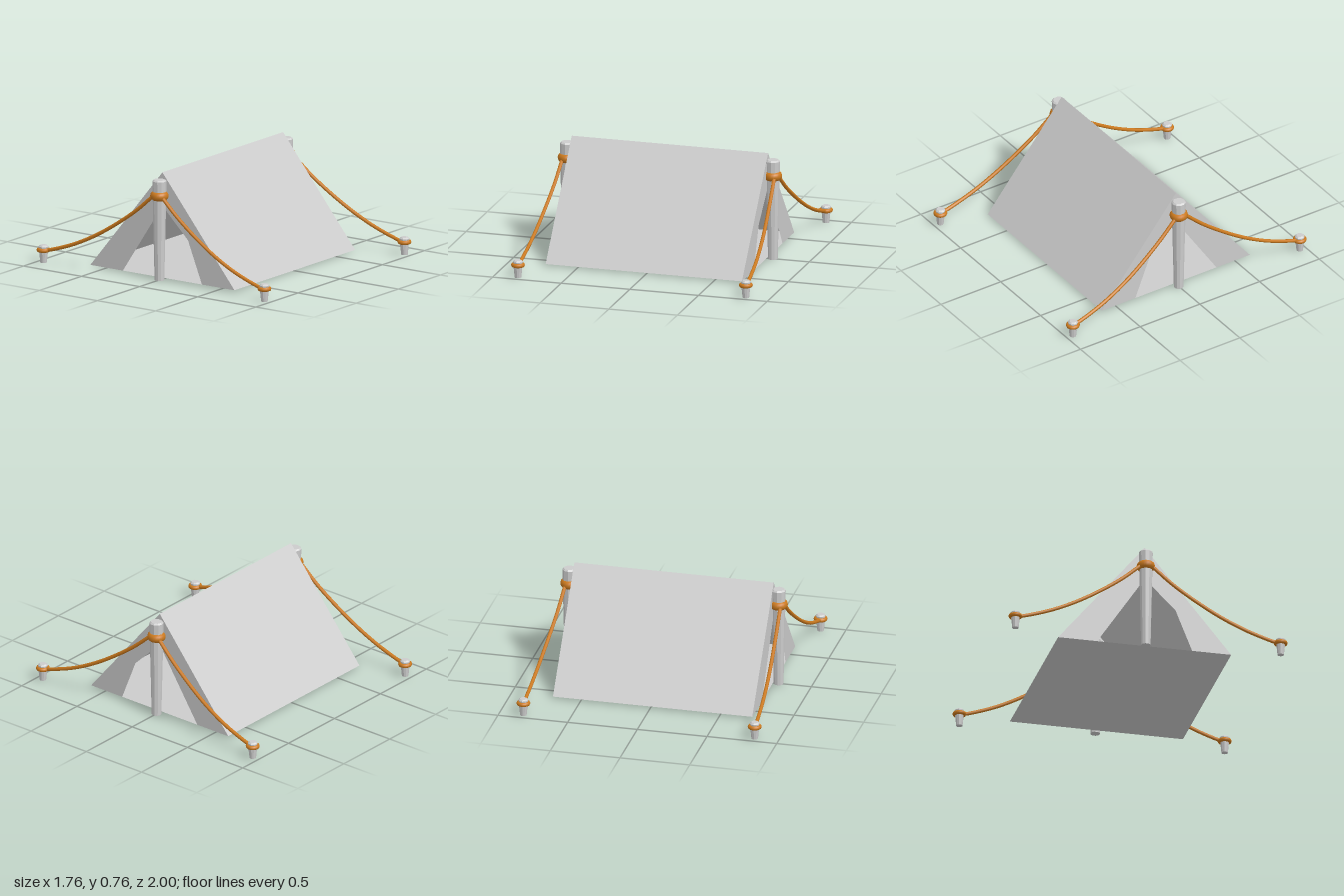
import * as THREE from 'three';

const canvasMat = new THREE.MeshStandardMaterial({ color: 0xcccccc, flatShading: true, side: THREE.DoubleSide });
const woodMat = new THREE.MeshStandardMaterial({ color: 0xcccccc, flatShading: true });
const ropeMat = new THREE.MeshStandardMaterial({ color: 0xcc7a1e });

const BACK = -0.73, FRONT = 0.70;         // tent ends along x
const HALF = 0.62, BASE = 0.01, RIDGE = 0.765;

function add(parent, name, geometry, material, x = 0, y = 0, z = 0) {
  const mesh = new THREE.Mesh(geometry, material);
  mesh.name = name;
  mesh.position.set(x, y, z);
  parent.add(mesh);
  return mesh;
}

// Flat four-cornered sheet of cloth
function sheet(a, b, c, d) {
  const g = new THREE.BufferGeometry();
  g.setAttribute('position', new THREE.Float32BufferAttribute([...a, ...b, ...c, ...a, ...c, ...d], 3));
  g.computeVertexNormals();
  return g;
}

// Tapered stake with a chamfered top
function stake(bottom, top, height, chamfer) {
  return new THREE.LatheGeometry([
    [0, 0], [bottom, 0], [top, height - chamfer], [top - chamfer, height], [0, height],
  ].map(([r, y]) => new THREE.Vector2(r, y)), 10);
}

// End wall with a split doorway; one flap is pulled further aside
function endWall() {
  const s = new THREE.Shape();
  [[HALF, BASE], [0, RIDGE], [-HALF, BASE], [-0.34, BASE], [0, 0.525], [0.22, 0.31], [0.34, BASE]]
    .forEach(([z, y], i) => (i ? s.lineTo(z, y) : s.moveTo(z, y)));
  return new THREE.ShapeGeometry(s).rotateY(-Math.PI / 2); // shape x becomes z
}

export function createModel() {
  const model = new THREE.Group();
  model.name = 'tent';

  // Canvas: two roof slopes, the ground sheet and the end walls
  for (const s of [1, -1]) {
    const corners = [[BACK, BASE, s * HALF], [FRONT, BASE, s * HALF], [FRONT, RIDGE, 0], [BACK, RIDGE, 0]];
    if (s < 0) corners.reverse();
    add(model, s > 0 ? 'frontRoof' : 'backRoof', sheet(...corners), canvasMat);
  }
  add(model, 'groundSheet', sheet(
    [BACK, BASE, HALF], [FRONT, BASE, HALF], [FRONT, BASE, -HALF], [BACK, BASE, -HALF]), canvasMat);
  add(model, 'rightEndWall', endWall(), canvasMat, BACK);
  add(model, 'leftEndWall', endWall(), canvasMat, FRONT);

  for (const side of [1, -1]) {
    const label = side > 0 ? 'left' : 'right';
    const poleX = side > 0 ? 0.735 : -0.765;
    const pegX = side * 0.83;

    // Pole and the rope wound round it
    add(model, label + 'Pole', stake(0.034, 0.05, 0.72, 0.01), woodMat, poleX);
    const knot = add(model, label + 'PoleRope',
      new THREE.TorusGeometry(0.04, 0.025, 10, 24).rotateX(Math.PI / 2), ropeMat, poleX, 0.605);
    knot.scale.y = 1.25;

    // Guy ropes sagging down to pegs
    for (const dir of [1, -1]) {
      const name = label + (dir > 0 ? 'Front' : 'Back');
      const z = dir * 0.95;
      add(model, name + 'Peg', stake(0.023, 0.035, 0.125, 0.01), woodMat, pegX, 0, z);
      add(model, name + 'PegRope',
        new THREE.TorusGeometry(0.034, 0.015, 8, 20).rotateX(Math.PI / 2), ropeMat, pegX, 0.09, z);
      const startX = poleX + side * 0.022;
      const path = [[0, 0.6, 0.04], [0.22, 0.465, 0.195], [0.62, 0.285, 0.46], [0.85, 0.175, 0.675],
        [0.97, 0.108, 0.86], [1, 0.09, 0.925]]
        .map(([t, y, d]) => new THREE.Vector3(startX + (pegX - startX) * t, y, dir * d));
      add(model, name + 'GuyRope',
        new THREE.TubeGeometry(new THREE.CatmullRomCurve3(path), 24, 0.013, 8), ropeMat);
    }
  }
  return model;
}
